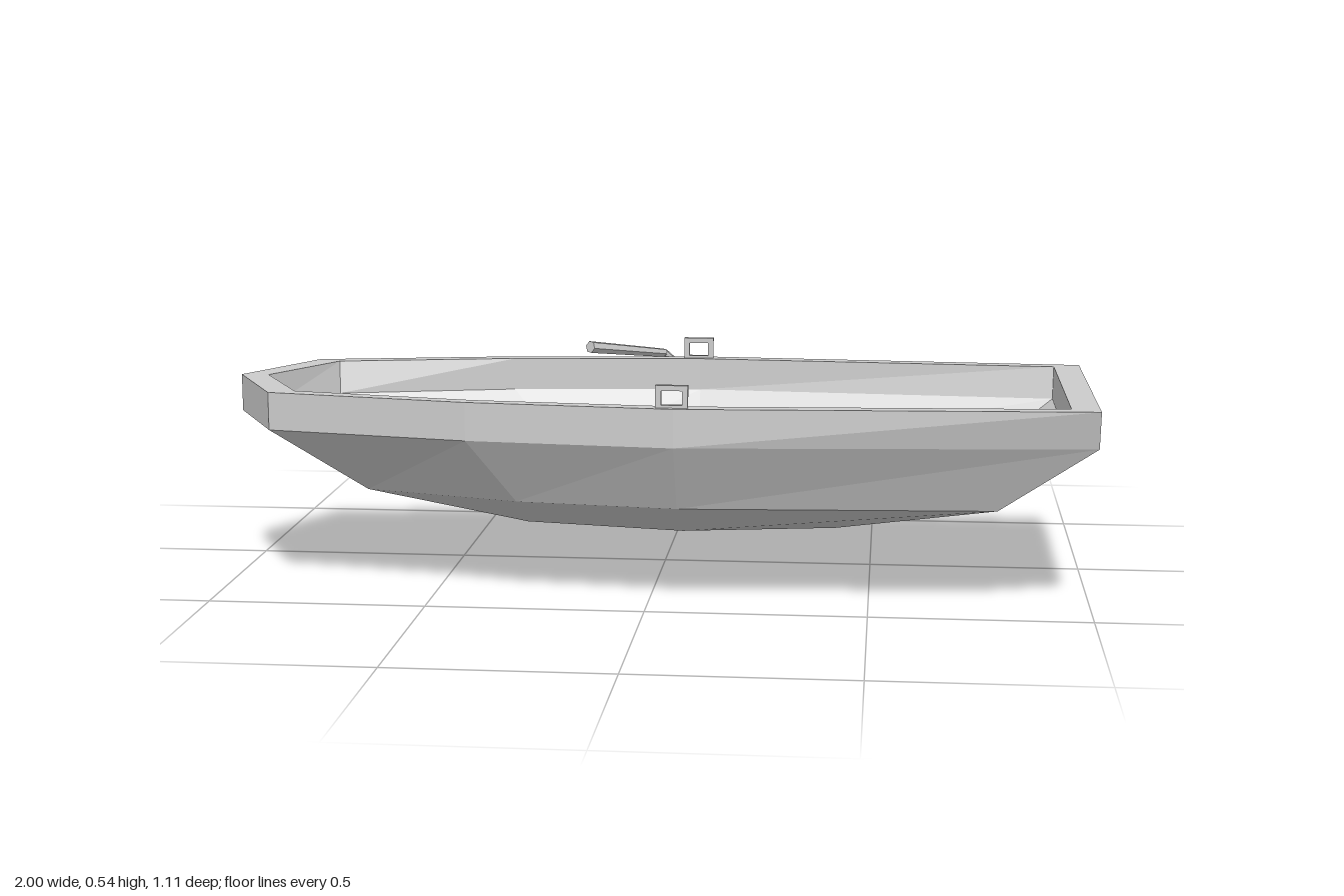
import * as THREE from 'three';

const material = new THREE.MeshStandardMaterial({ color: 0xcccccc, flatShading: true, side: THREE.DoubleSide });
const CENTRE_Z = 0.165;
const vec = (p) => new THREE.Vector3(...p);

function addMesh(parent, name, geometry) {
  const mesh = new THREE.Mesh(geometry, material);
  mesh.name = name;
  parent.add(mesh);
  return mesh;
}

// Hull rings: height, then [x, half width] from stern corner to bow tip.
// They run up the outside, over the rim and down the inside.
const HULL_RINGS = [
  [0.15, [[0.42, 0.08], [0.07, 0.145], [-0.3, 0.08], [-0.3, 0.08], [-0.3, 0]]],
  [0.235, [[0.785, 0.255], [0.07, 0.3], [-0.3, 0.255], [-0.665, 0.15], [-0.715, 0]]],
  [0.39, [[1, 0.312], [0.07, 0.388], [-0.4, 0.343], [-0.87, 0.252], [-1, 0]]],
  [0.477, [[1, 0.335], [0.07, 0.388], [-0.4, 0.343], [-0.87, 0.252], [-1, 0]]],
  [0.477, [[0.937, 0.302], [0.07, 0.35], [-0.39, 0.31], [-0.815, 0.225], [-0.935, 0]]],
  [0.4, [[0.935, 0.29], [0.07, 0.348], [-0.39, 0.308], [-0.81, 0.205], [-0.93, 0]]],
  [0.25, [[0.74, 0.24], [0.07, 0.277], [-0.26, 0.235], [-0.61, 0.135], [-0.655, 0]]],
  [0.17, [[0.39, 0.07], [0.07, 0.12], [-0.26, 0.07], [-0.26, 0.07], [-0.26, 0]]],
];

function hullGeometry() {
  const rings = HULL_RINGS.map(([y, half]) => [
    ...half.map(([x, w]) => [x, y, CENTRE_Z + w]),
    ...half.slice(0, -1).reverse().map(([x, w]) => [x, y, CENTRE_Z - w]),
  ]);
  const n = rings[0].length;
  const positions = [];
  const tri = (...corners) => corners.forEach((c) => positions.push(...c));
  for (let i = 0; i < n; i++) {
    const j = (i + 1) % n;
    for (let k = 0; k + 1 < rings.length; k++) {
      const low = rings[k], high = rings[k + 1];
      tri(low[i], high[i], low[j]);
      tri(low[j], high[i], high[j]);
    }
    // flat bottom and inside floor
    const bottom = rings[0], floor = rings[rings.length - 1];
    tri([0.07, 0.15, CENTRE_Z], bottom[i], bottom[j]);
    tri([0.07, 0.17, CENTRE_Z], floor[j], floor[i]);
  }
  const geometry = new THREE.BufferGeometry();
  geometry.setAttribute('position', new THREE.Float32BufferAttribute(positions, 3));
  geometry.computeVertexNormals();
  return geometry;
}

// Rectangular ring standing on the rim
function oarlockGeometry() {
  const rect = (Type, w, y0, y1) => new Type([
    new THREE.Vector2(-w, y0), new THREE.Vector2(w, y0),
    new THREE.Vector2(w, y1), new THREE.Vector2(-w, y1),
  ]);
  const shape = rect(THREE.Shape, 0.036, 0, 0.056);
  shape.holes.push(rect(THREE.Path, 0.023, 0.012, 0.044));
  return new THREE.ExtrudeGeometry(shape, { depth: 0.013, bevelEnabled: false }).translate(0, 0, -0.0065);
}

function rod(parent, name, from, to, r0, r1) {
  const dir = vec(to).sub(vec(from));
  const mesh = addMesh(parent, name, new THREE.CylinderGeometry(r1, r0, dir.length(), 6));
  mesh.position.copy(vec(from)).addScaledVector(dir, 0.5);
  mesh.quaternion.setFromUnitVectors(new THREE.Vector3(0, 1, 0), dir.normalize());
}

// Blade outline: fraction of length, half width
const BLADE = [[0, 0.012], [0.28, 0.042], [0.6, 0.052], [0.88, 0.05], [1, 0.024]];

// Bent oar: grip, shaft and a thin blade that widens towards its tip
function makeOar(name, grip, bend, neck, tip, across) {
  const oar = new THREE.Group();
  oar.name = name;
  rod(oar, 'grip', grip, bend, 0.015, 0.011);
  rod(oar, 'shaft', bend, neck, 0.011, 0.011);

  const along = vec(tip).sub(vec(neck));
  const length = along.length();
  along.normalize();
  const outline = [
    ...BLADE.map(([t, w]) => new THREE.Vector2(w, t * length)),
    ...BLADE.slice().reverse().map(([t, w]) => new THREE.Vector2(-w, t * length)),
  ];
  const geometry = new THREE.ExtrudeGeometry(new THREE.Shape(outline), { depth: 0.016, bevelEnabled: false });
  geometry.translate(0, 0, -0.008);
  const side = vec(across).addScaledVector(along, -vec(across).dot(along)).normalize();
  const normal = new THREE.Vector3().crossVectors(side, along);
  const blade = addMesh(oar, 'blade', geometry);
  blade.quaternion.setFromRotationMatrix(new THREE.Matrix4().makeBasis(side, along, normal));
  blade.position.set(...neck);
  return oar;
}

export function createModel() {
  const model = new THREE.Group();
  model.name = 'rowingBoat';
  addMesh(model, 'hull', hullGeometry());

  for (const side of [-1, 1]) {
    const lock = addMesh(model, side > 0 ? 'frontOarlock' : 'backOarlock', oarlockGeometry());
    lock.position.set(0.065, 0.471, CENTRE_Z + side * 0.367);
  }

  // One oar hangs over the rim, the other lies on the floor
  model.add(makeOar('hangingOar', [-0.185, 0.527, -0.02], [-0.025, 0.484, -0.228],
    [0.28, 0.165, -0.435], [0.425, 0.022, -0.54], [0.72, 0.54, 0.43]));
  model.add(makeOar('stowedOar', [-0.56, 0.255, 0.097], [-0.38, 0.215, 0.11],
    [0, 0.193, 0.12], [0.225, 0.186, 0.13], [0, 0, 1]));
  return model;
}
